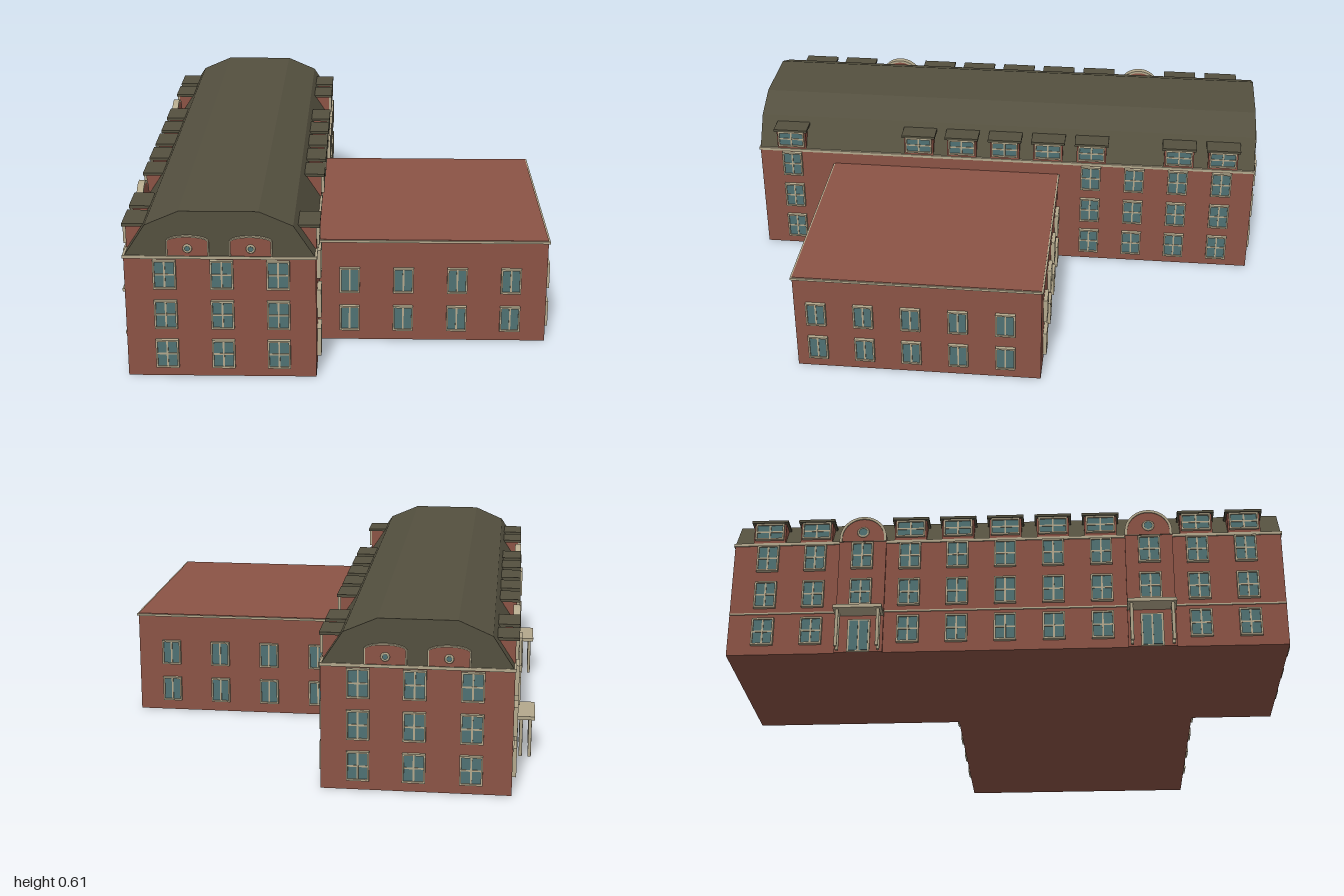
import * as THREE from 'three';
import { mergeGeometries } from 'three/addons/utils/BufferGeometryUtils.js';

const mat = (name, color, side = THREE.FrontSide) => {
  const m = new THREE.MeshStandardMaterial({ color, side });
  m.name = name;
  return m;
};

export function createModel() {
  const brick = mat('brick', 0x8b5345);
  const slate = mat('slate', 0x54503f);
  const cream = mat('cream stone', 0xb3a88c);
  const glass = mat('glass', 0x4f7173);

  const model = new THREE.Group();
  model.name = 'building';

  const add = (name, geo, material, parent = model) => {
    const m = new THREE.Mesh(geo, material);
    m.name = name;
    parent.add(m);
    return m;
  };
  // Box given by its min and max corners
  const boxGeo = (x0, x1, y0, y1, z0, z1) =>
    new THREE.BoxGeometry(x1 - x0, y1 - y0, z1 - z0)
      .translate((x0 + x1) / 2, (y0 + y1) / 2, (z0 + z1) / 2);
  const box = (name, material, b, parent) => add(name, boxGeo(...b), material, parent);
  const place = (group, x, y, z, turn) => {
    group.position.set(x, y, z);
    group.rotation.y = turn;
    model.add(group);
    return group;
  };

  const L = -0.7, R = -0.053, MID = (L + R) / 2, END = 0.984;
  const FRONT = 0, BACK = Math.PI, LEFT = Math.PI / 2, RIGHT = -Math.PI / 2;
  const bays = Array.from({ length: 11 }, (_, k) => 0.855 - 0.1715 * k);
  const gableBays = [2, 8];

  // Windows: cream casing bars around a recessed pane, facing +z
  function windowParts(w, h, crossbar) {
    const t = 0.006, d = 0.014, a = w / 2, b = h / 2;
    const bars = [
      boxGeo(-a, -a + t, -b, b, 0, d), boxGeo(a - t, a, -b, b, 0, d),
      boxGeo(-a + t, a - t, -b, -b + t, 0, d), boxGeo(-a + t, a - t, b - t, b, 0, d),
      boxGeo(-t / 2, t / 2, -b + t, b - t, 0, d - 0.003),
    ];
    if (crossbar) bars.push(boxGeo(-a + t, a - t, -t / 2, t / 2, 0, d - 0.004));
    return { frame: mergeGeometries(bars), pane: boxGeo(-a + t, a - t, -b + t, b - t, 0, 0.008) };
  }
  const mainWindow = windowParts(0.078, 0.104, true);
  const wingWindow = windowParts(0.072, 0.095, false);
  const dormerWindow = windowParts(0.104, 0.066, true);
  function addWindow(kind, x, y, z, turn) {
    const g = new THREE.Group();
    g.name = 'window';
    add('windowFrame', kind.frame, cream, g);
    add('windowPane', kind.pane, glass, g);
    place(g, x, y, z, turn);
  }

  // Main block with cornice
  box('mainWalls', brick, [L, R, 0, 0.437, -END, END]);
  box('cornice', cream, [L - 0.004, R + 0.004, 0.435, 0.446, -END - 0.004, END + 0.004]);
  box('stringCourse', cream, [L - 0.004, L, 0.157, 0.163, -END, END]);

  // Long mansard roof
  const roofShape = new THREE.Shape([
    [L + 0.004, 0.446], [R - 0.004, 0.446], [-0.128, 0.555],
    [-0.243, 0.605], [-0.51, 0.605], [-0.625, 0.555],
  ].map(([x, y]) => new THREE.Vector2(x, y)));
  add('mansardRoof', new THREE.ExtrudeGeometry(roofShape, { depth: 2 * END, bevelEnabled: false })
    .translate(0, 0, -END), slate);

  // Wing with coping and flat roof
  box('wingWalls', brick, [R, 0.76, 0, 0.379, -0.215, 0.682]);
  box('wingCoping', cream, [R, 0.766, 0.378, 0.386, -0.221, 0.688]);
  box('wingRoof', brick, [R, 0.76, 0.386, 0.388, -0.215, 0.682]);
  for (const y of [0.0875, 0.235]) {
    for (const x of [0.056, 0.248, 0.44, 0.632]) {
      addWindow(wingWindow, x, y, 0.682, FRONT);
      addWindow(wingWindow, x, y, -0.215, BACK);
    }
    for (const k of [0, 1, 2, 3, 4]) addWindow(wingWindow, 0.76, y, 0.602 - 0.172 * k, LEFT);
  }

  // Main windows on three floors
  for (const y of [0.087, 0.233, 0.38]) {
    for (const x of [-0.563, -0.37, -0.18]) {
      addWindow(mainWindow, x, y, END, FRONT);
      addWindow(mainWindow, x, y, -END, BACK);
    }
    bays.forEach((z, k) => {
      const gable = gableBays.includes(k);
      if (!(gable && y < 0.1)) addWindow(mainWindow, gable ? L - 0.008 : L, y, z, RIGHT);
      if (k === 0 || k >= 7) addWindow(mainWindow, R, y, z, LEFT);
    });
  }

  // Dormers along both long sides
  function dormer(z, side) {
    const g = new THREE.Group();
    g.name = 'dormer';
    box('dormerWalls', brick, [-0.058, 0.058, 0.446, 0.526, -0.06, 0], g);
    box('dormerRoof', slate, [-0.066, 0.066, 0.525, 0.535, -0.062, 0.012], g);
    place(g, side > 0 ? R : L, 0, z, side > 0 ? LEFT : RIGHT);
    addWindow(dormerWindow, (side > 0 ? R : L) - side * 0.004, 0.491, z, side > 0 ? LEFT : RIGHT);
  }
  bays.forEach((z, k) => {
    if (!gableBays.includes(k)) dormer(z, -1);
    if (![1, 2, 8].includes(k)) dormer(z, 1);
  });

  // Round window: cream ring and glass disc
  function roundWindow(parent, y, z, r) {
    add('roundFrame', new THREE.TorusGeometry(r, 0.004, 6, 20).translate(0, y, z), cream, parent);
    add('roundPane', new THREE.CylinderGeometry(r, r, 0.004, 20).rotateX(Math.PI / 2)
      .translate(0, y, z), glass, parent);
  }
  // Arch-topped outline; rise is the height of the arch above its springing
  function archShape(half, y0, spring, rise, Type = THREE.Shape) {
    const s = new Type();
    s.moveTo(-half, y0);
    s.lineTo(half, y0);
    s.lineTo(half, spring);
    s.absellipse(0, spring, half, rise, 0, Math.PI, false);
    s.lineTo(-half, y0);
    return s;
  }
  const slab = (shape, depth, z) =>
    new THREE.ExtrudeGeometry(shape, { depth, bevelEnabled: false, curveSegments: 16 }).translate(0, 0, z);
  function archedPanel(name, parent, half, y0, spring, rise, back, front, t) {
    add(name, slab(archShape(half - t, y0, spring, rise - t), front - back, back), brick, parent);
    const trim = archShape(half, y0, spring, rise);
    trim.holes.push(archShape(half - t, y0 + 0.001, spring, rise - t, THREE.Path));
    add(name + 'Trim', slab(trim, front - back + 0.004, back), cream, parent);
  }

  // Arched brick panels on both roof ends
  for (const s of [1, -1]) for (const x of [MID - 0.106, MID + 0.106]) {
    const g = new THREE.Group();
    g.name = 'endGablePanel';
    archedPanel('endPanel', g, 0.072, 0.447, 0.499, 0.021, -0.004, 0.006, 0.005);
    roundWindow(g, 0.475, 0.008, 0.012);
    place(g, x, 0, s * END, s > 0 ? FRONT : BACK);
  }

  // Entrance bays with arched gable, door and portico
  for (const k of gableBays) {
    const g = new THREE.Group();
    g.name = 'entranceBay';
    box('bayWall', brick, [-0.085, 0.085, 0, 0.45, 0, 0.008], g);
    archedPanel('bayGable', g, 0.085, 0.44, 0.455, 0.086, -0.012, 0.008, 0.009);
    roundWindow(g, 0.477, 0.012, 0.018);
    box('doorFrame', cream, [-0.04, 0.04, 0, 0.125, 0.008, 0.014], g);
    for (const s of [-1, 1])
      box('doorLeaf', glass, [s * 0.018 - 0.015, s * 0.018 + 0.015, 0.004, 0.118, 0.01, 0.017], g);
    box('porticoRoof', cream, [-0.086, 0.086, 0.141, 0.154, 0, 0.076], g);
    for (const x of [-0.072, 0.072]) for (const z of [0.028, 0.06])
      add('porticoColumn', new THREE.CylinderGeometry(0.006, 0.006, 0.142, 10)
        .translate(x, 0.071, z), cream, g);
    place(g, L, 0, bays[k], RIGHT);
  }

  return model;
}
